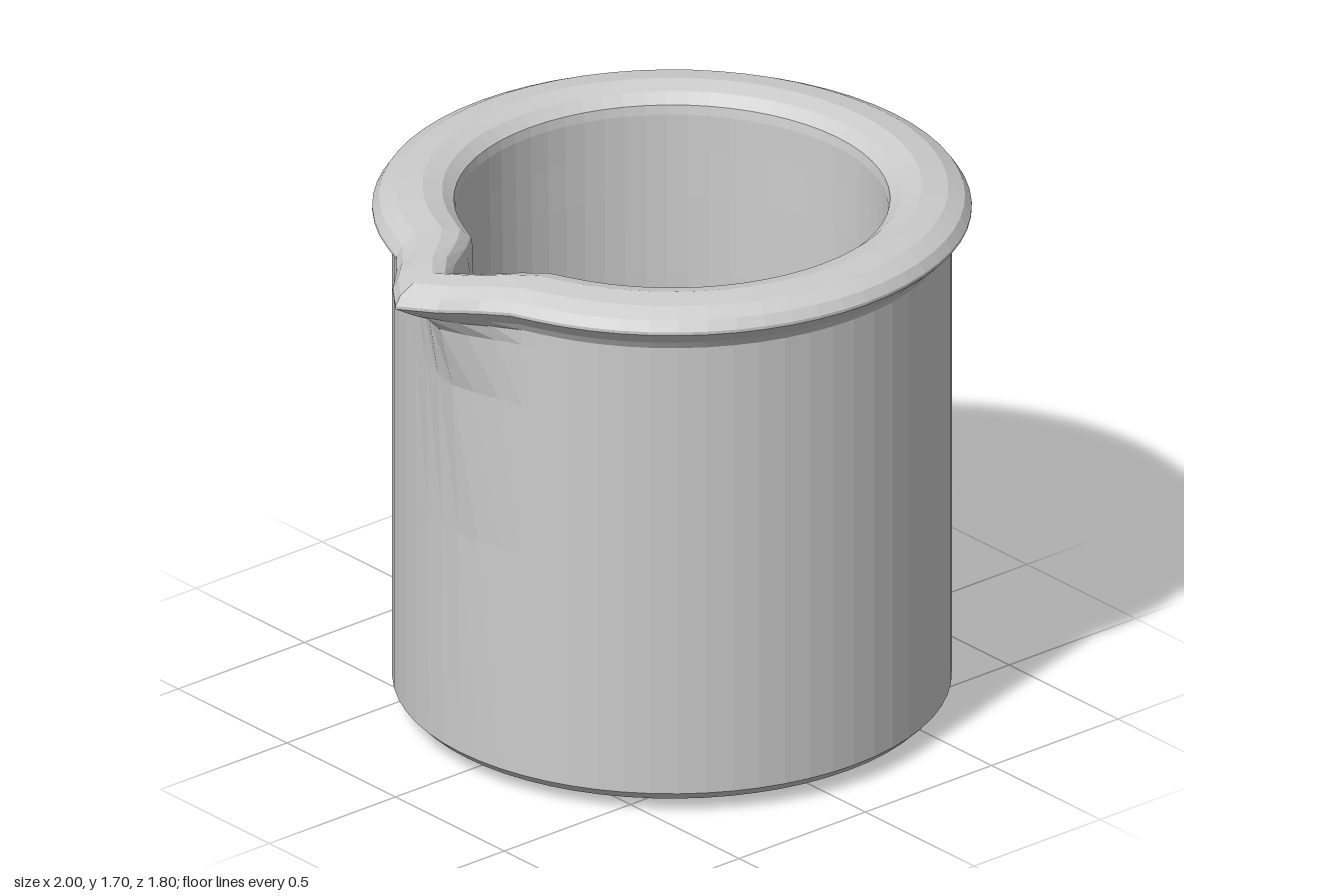
import * as THREE from 'three';

const SIDES = 64;
const AXIS_X = 0.095; // the round body sits off centre to make room for the spout

// How strongly the spout pulls the wall outward, by angle (degrees) away from -x
const SPOUT = [[0, 1], [5.6, 0.64], [11.25, 0.25], [16.9, 0.02], [22.5, 0]];

function spoutWeight(deg) {
  for (let i = 1; i < SPOUT.length; i++) {
    const [a0, w0] = SPOUT[i - 1];
    const [a1, w1] = SPOUT[i];
    if (deg <= a1) return THREE.MathUtils.mapLinear(deg, a0, a1, w0, w1);
  }
  return 0;
}

// Lathe whose profile rows are [radius, height, spout pull]
function spoutedLathe(name, profile, material) {
  const geo = new THREE.LatheGeometry(profile.map(([r, y]) => new THREE.Vector2(r, y)), SIDES);
  const pos = geo.attributes.position;
  for (let i = 0; i < pos.count; i++) {
    const [r, , pull = 0] = profile[i % profile.length];
    const x = pos.getX(i);
    const z = pos.getZ(i);
    if (r > 0 && pull > 0) {
      const deg = THREE.MathUtils.radToDeg(Math.abs(Math.atan2(z, -x)));
      const s = 1 + (pull * spoutWeight(deg)) / r;
      pos.setX(i, x * s);
      pos.setZ(i, z * s);
    }
  }
  geo.computeVertexNormals();
  const mesh = new THREE.Mesh(geo, material);
  mesh.name = name;
  mesh.position.x = AXIS_X;
  return mesh;
}

export function createModel() {
  const group = new THREE.Group();
  group.name = 'spoutedBeaker';
  const material = new THREE.MeshStandardMaterial({ color: 0xcccccc, flatShading: true });

  // Slightly domed underside, bevelled foot and outer wall swelling into the spout
  group.add(spoutedLathe('outerBody', [
    [0, 0], [0.6, 0.015], [0.81, 0.04], [0.84, 0.07],
    [0.84, 0.8, 0.005], [0.84, 1.3, 0.03], [0.84, 1.5, 0.08], [0.84, 1.55, 0.13],
  ], material));

  // Rounded overhanging rim
  group.add(spoutedLathe('rim', [
    [0.84, 1.55, 0.13], [0.855, 1.575, 0.165], [0.9, 1.62, 0.195], [0.9, 1.63, 0.195],
    [0.88, 1.66, 0.195], [0.83, 1.685, 0.195], [0.75, 1.695, 0.2], [0.69, 1.68, 0.21],
    [0.655, 1.65, 0.22], [0.65, 1.62, 0.22],
  ], material));

  // Tapered inner wall with the pouring groove, and the floor
  group.add(spoutedLathe('interior', [
    [0.65, 1.62, 0.22], [0.648, 1.5, 0.16], [0.645, 1.35, 0.1], [0.642, 1.1, 0.04],
    [0.64, 0.8, 0], [0.63, 0.23], [0.6, 0.205], [0.52, 0.19], [0, 0.18],
  ], material));

  return group;
}
